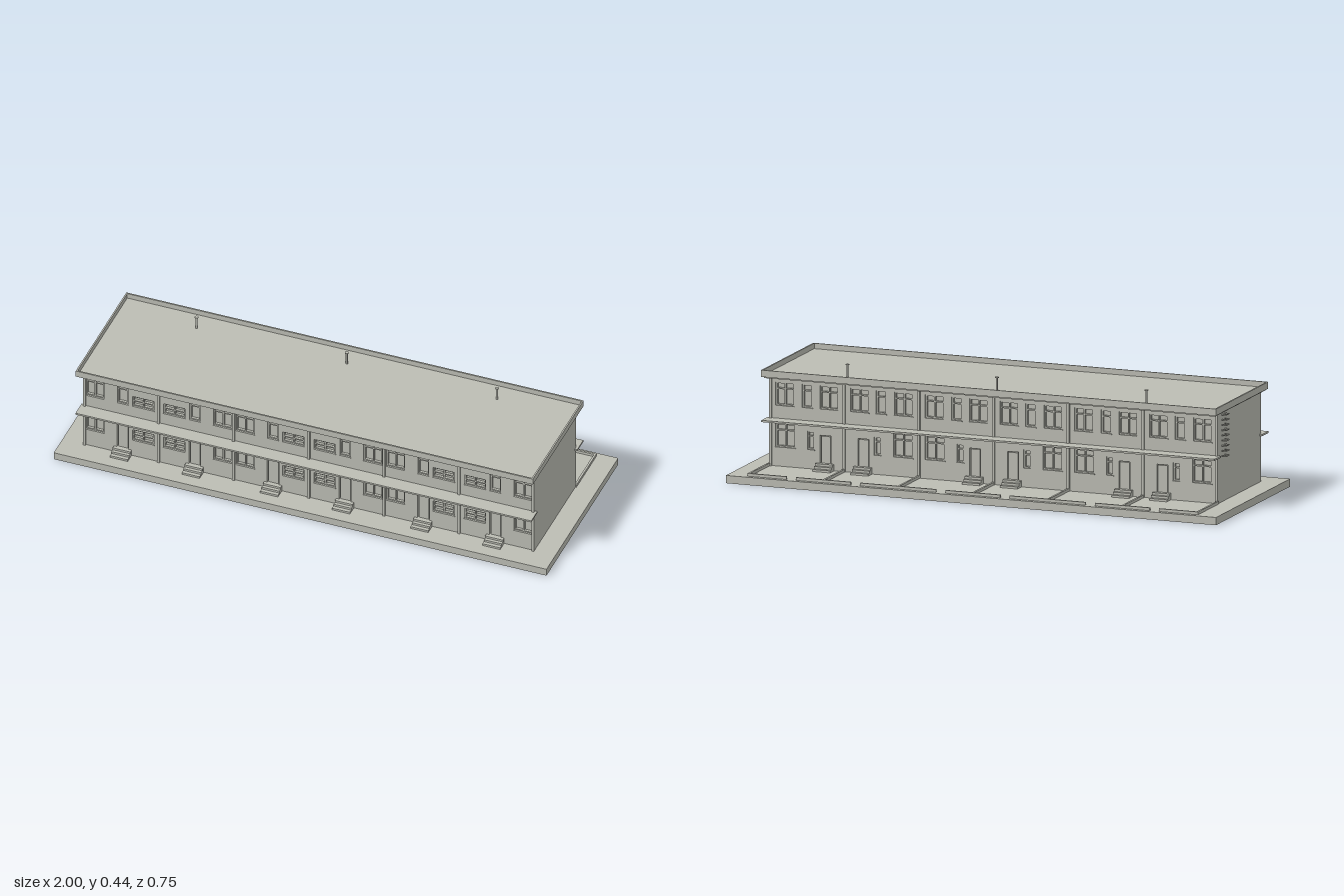
import * as THREE from 'three';

const concrete = new THREE.MeshStandardMaterial({ color: 0xbcbdb4 });
concrete.name = 'grey concrete';

function mesh(parent, name, geometry) {
  const m = new THREE.Mesh(geometry, concrete);
  m.name = name;
  parent.add(m);
  return m;
}

// Box given by its limits on each axis
function box(parent, name, x0, x1, y0, y1, z0, z1) {
  const m = mesh(parent, name, new THREE.BoxGeometry(Math.abs(x1 - x0), y1 - y0, z1 - z0));
  m.position.set((x0 + x1) / 2, (y0 + y1) / 2, (z0 + z1) / 2);
  return m;
}

function rectangle(x0, x1, y0, y1, Type = THREE.Path) {
  const [a, b] = [Math.min(x0, x1), Math.max(x0, x1)];
  const r = new Type();
  r.moveTo(a, y0).lineTo(b, y0).lineTo(b, y1).lineTo(a, y1).closePath();
  return r;
}

const HALF = 0.915;   // half length of the terrace
const UNIT = 0.305;   // width of one house
const DEPTH = 0.015;  // depth of the window reveals
const pairs = [-0.61, 0, 0.61]; // shared wall in the middle of each pair of houses

// Openings of one house: [from, to, bottom, top, columns, transom height fraction],
// measured outwards from the shared wall
const frontOpenings = [
  [0.02, 0.107, 0.265, 0.31, 2, 0.5],
  [0.125, 0.168, 0.265, 0.355, 1, 0.72],
  [0.222, 0.297, 0.265, 0.355, 2, 0.72],
  [0.02, 0.107, 0.104, 0.152, 2, 0.5],
  [0.222, 0.297, 0.104, 0.195, 2, 0.72],
  [0.122, 0.17, 0.055, 0.163, 1, 0],
];
const backOpenings = [
  [0.025, 0.1, 0.265, 0.355, 2, 0.72],
  [0.13, 0.172, 0.265, 0.355, 1, 0.72],
  [0.205, 0.28, 0.265, 0.355, 2, 0.72],
  [0.055, 0.1, 0.055, 0.163, 1, 0],
  [0.122, 0.15, 0.104, 0.175, 1, 0.72],
  [0.2, 0.28, 0.104, 0.195, 2, 0.72],
];

// Frame with mullion and transom, or a door leaf, set inside its reveal
function fillOpening(parent, x0, x1, y0, y1, columns, transom) {
  const [a, b] = [Math.min(x0, x1), Math.max(x0, x1)];
  const t = 0.005, back = -DEPTH, front = -0.005;
  if (!transom) {
    box(parent, 'doorLeaf', a + 0.004, b - 0.004, y0, y1 - 0.004, back, front);
    return;
  }
  const frame = rectangle(a, b, y0, y1, THREE.Shape);
  const split = y0 + (y1 - y0) * transom;
  const w = (b - a - t * (columns + 1)) / columns;
  for (let i = 0; i < columns; i++) {
    const p = a + t + i * (w + t);
    frame.holes.push(rectangle(p, p + w, y0 + t, split - t / 2));
    frame.holes.push(rectangle(p, p + w, split + t / 2, y1 - t));
  }
  const g = new THREE.ExtrudeGeometry(frame, { depth: front - back, bevelEnabled: false });
  mesh(parent, 'windowFrame', g).position.z = back;
  box(parent, 'windowSill', a - 0.002, b + 0.002, y0 - 0.003, y0, back, 0.002);
}

// A full facade whose outer face lies at local z = 0, facing +z
function facade(name, openings) {
  const group = new THREE.Group();
  group.name = name;
  const wall = rectangle(-HALF + 0.008, HALF - 0.008, 0.03, 0.377, THREE.Shape);
  for (const p of pairs) for (const s of [-1, 1]) {
    for (const [a, b, y0, y1, columns, transom] of openings) {
      const x0 = p + s * a, x1 = p + s * b;
      wall.holes.push(rectangle(x0, x1, y0, y1));
      fillOpening(group, x0, x1, y0, y1, columns, transom);
      // Doorsteps
      if (!transom) {
        const c = (x0 + x1) / 2;
        [[0.055, 0.014], [0.0465, 0.027], [0.038, 0.042]].forEach(([top, out]) =>
          box(group, 'doorstep', c - 0.036, c + 0.036, 0.03, top, -0.005, out));
      }
    }
  }
  const g = new THREE.ExtrudeGeometry(wall, { depth: DEPTH, bevelEnabled: false });
  mesh(group, 'facadeWall', g).position.z = -DEPTH;
  // Party wall ends between the houses
  for (let i = -2; i <= 2; i++) {
    box(group, 'partyWallEnd', i * UNIT - 0.005, i * UNIT + 0.005, 0.03, 0.377, -0.01, 0.007);
  }
  // Canopy slab above the ground floor
  box(group, 'canopy', -0.925, 0.925, 0.208, 0.215, -0.005, 0.059);
  return group;
}

export function createModel() {
  const model = new THREE.Group();
  model.name = 'terracedHouses';

  box(model, 'groundSlab', -1, 1, 0, 0.03, -0.373, 0.373);
  box(model, 'buildingCore', -0.908, 0.908, 0.03, 0.377, -0.128, 0.265);
  for (const s of [-1, 1]) {
    box(model, 'endWall', s * 0.905, s * HALF, 0.03, 0.377, -0.15, 0.287);
  }

  const front = facade('frontFacade', frontOpenings);
  front.position.z = 0.28;
  const back = facade('backFacade', backOpenings);
  back.position.z = -0.143;
  back.rotation.y = Math.PI;
  model.add(front, back);

  // Roof with stepped eaves and a thin parapet
  box(model, 'eaves', -0.92, 0.92, 0.376, 0.384, -0.187, 0.322);
  box(model, 'roofDeck', -0.925, 0.925, 0.382, 0.387, -0.196, 0.329);
  const ring = rectangle(-0.928, 0.928, -0.33, 0.197, THREE.Shape);
  ring.holes.push(rectangle(-0.922, 0.922, -0.324, 0.191));
  const parapet = mesh(model, 'parapet',
    new THREE.ExtrudeGeometry(ring, { depth: 0.026, bevelEnabled: false }));
  parapet.rotation.x = -Math.PI / 2;
  parapet.position.y = 0.382;

  // Roof vents
  for (const x of pairs) {
    const pipe = mesh(model, 'ventPipe', new THREE.CylinderGeometry(0.004, 0.004, 0.055, 12));
    pipe.position.set(x, 0.411, -0.112);
    const cap = mesh(model, 'ventCap', new THREE.CylinderGeometry(0.0075, 0.0075, 0.003, 12));
    cap.position.set(x, 0.4385, -0.112);
  }

  // Low garden kerbs behind the houses, with a gate gap for each
  for (let i = -3; i <= 3; i++) {
    box(model, 'gardenDivider', i * UNIT - 0.004, i * UNIT + 0.004, 0.03, 0.041, -0.353, -0.145);
  }
  for (const p of pairs) for (const s of [-1, 1]) {
    box(model, 'gardenKerb', p, p + s * 0.112, 0.03, 0.041, -0.355, -0.347);
    box(model, 'gardenKerb', p + s * 0.15, p + s * UNIT, 0.03, 0.041, -0.355, -0.347);
  }

  // Rung ladder on the end wall
  for (let i = 0; i < 9; i++) {
    const y = 0.205 + i * 0.02;
    box(model, 'ladderRung', -0.934, -0.93, y, y + 0.004, -0.106, -0.074);
    for (const z of [-0.106, -0.078]) {
      box(model, 'rungBracket', -0.932, -0.912, y, y + 0.004, z, z + 0.004);
    }
  }
  return model;
}
